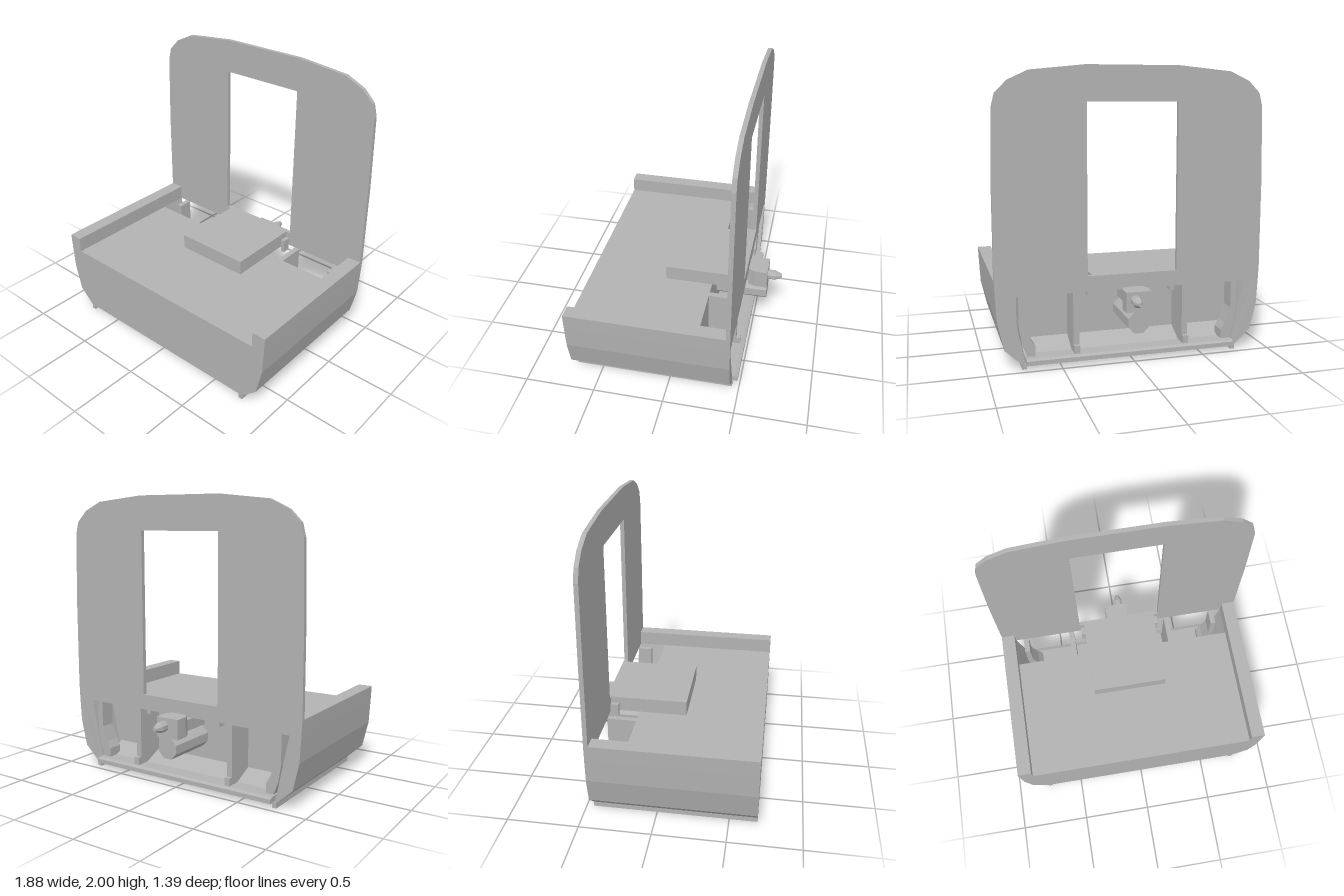
import * as THREE from 'three';

export function createModel() {
  const model = new THREE.Group();
  model.name = 'carriageEnd';
  const grey = new THREE.MeshStandardMaterial({ color: 0xb2b2b2 });
  grey.name = 'plain grey';

  const add = (name, geo) => {
    const mesh = new THREE.Mesh(geo, grey);
    mesh.name = name;
    model.add(mesh);
    return mesh;
  };
  const box = (name, x0, x1, y0, y1, z0, z1) => {
    const geo = new THREE.BoxGeometry(x1 - x0, y1 - y0, z1 - z0);
    geo.translate((x0 + x1) / 2, (y0 + y1) / 2, (z0 + z1) / 2);
    return add(name, geo);
  };
  const shapeOf = pts => new THREE.Shape(pts.map(p => new THREE.Vector2(...p)));
  // extrude an x-y outline between two z positions
  const slab = (name, shape, z0, z1) => {
    const geo = new THREE.ExtrudeGeometry(shape, { depth: z1 - z0, bevelEnabled: false });
    geo.translate(0, 0, z0);
    return add(name, geo);
  };
  const mirror = pts => pts.map(([x, y]) => [-x, y]).reverse();
  const symmetric = half => [...half, ...mirror(half)];

  // outer hull curve, bottom to shoulder
  const hull = [[0.765, 0.035], [0.88, 0.14], [0.925, 0.33], [0.935, 0.5], [0.94, 0.61]];

  // main tub with raised side ledges
  slab('body', shapeOf(symmetric([...hull, [0.84, 0.61], [0.84, 0.5]])), -0.21, 0.695);

  // upright end wall, open below deck level, with a doorway
  const wall = shapeOf(symmetric([
    [0.92, 0.5], [0.75, 0.035], ...hull, [0.94, 1.2], [0.928, 1.73],
    [0.905, 1.82], [0.825, 1.9], [0.69, 1.963], [0.32, 2]
  ]));
  wall.holes.push(new THREE.Path([[-0.315, 0.608], [-0.315, 1.763], [0.315, 1.763], [0.315, 0.608]]
    .map(p => new THREE.Vector2(...p))));
  slab('endWall', wall, -0.45, -0.42);

  // raised box on the deck
  box('deckBox', -0.28, 0.28, 0.5, 0.608, -0.42, 0.135);

  // floor of the rear bay, rising to the tub
  const floor = new THREE.ExtrudeGeometry(
    shapeOf([[0.21, 0.035], [0.485, 0.035], [0.485, 0.065], [0.46, 0.075], [0.35, 0.075], [0.21, 0.14]]),
    { depth: 1.48, bevelEnabled: false });
  floor.rotateY(Math.PI / 2);
  floor.translate(-0.74, 0, 0);
  add('bayFloor', floor);

  for (const [side, s] of [['left', 1], ['right', -1]]) {
    const sided = pts => shapeOf(s > 0 ? pts : mirror(pts));
    const span = (name, a, b, ...rest) =>
      box(side + name, Math.min(a * s, b * s), Math.max(a * s, b * s), ...rest);

    // side wall of the rear bay
    slab(side + 'BayWall', sided([...hull, [0.84, 0.61], [0.84, 0.5], [0.74, 0.035]]), -0.42, -0.21);
    // curved bracket inside the bay
    slab(side + 'Bracket', sided([
      [0.67, 0.06], [0.72, 0.06], [0.76, 0.16], [0.78, 0.28], [0.78, 0.5],
      [0.74, 0.5], [0.74, 0.3], [0.7, 0.19], [0.67, 0.14]
    ]), -0.42, -0.31);
    // upright rib with a small foot
    span('Rib', 0.37, 0.41, 0.06, 0.5, -0.42, -0.21);
    span('RibFoot', 0.37, 0.41, 0.06, 0.13, -0.45, -0.42);
    // small block beside the deck box
    span('Stop', 0.28, 0.31, 0.46, 0.56, -0.42, -0.36);
    // runner along the bottom edge
    span('Runner', 0.735, 0.765, 0, 0.036, -0.45, 0.695);
  }

  // coupler: tapered head, faceted bar and pointed pin
  const head = new THREE.ExtrudeGeometry(
    shapeOf([[-0.065, 0.45], [0.065, 0.45], [0.088, 0.5], [0.088, 0.592], [-0.088, 0.592], [-0.088, 0.5]]),
    { depth: 0.14, bevelEnabled: false });
  head.rotateX(-Math.PI / 2);
  head.translate(0, 0.375, 0);
  add('couplerHead', head);
  box('couplerStem', -0.045, 0.045, 0.39, 0.47, -0.46, -0.21);

  const bar = new THREE.CylinderGeometry(0.079, 0.079, 0.382, 8).toNonIndexed();
  bar.rotateY(Math.PI / 8);
  bar.rotateX(Math.PI / 2);
  bar.computeVertexNormals();
  bar.translate(0, 0.303, -0.401);
  add('couplerBar', bar);

  const pin = new THREE.LatheGeometry(
    [[0, 0], [0.037, 0], [0.037, 0.06], [0.015, 0.11], [0, 0.11]].map(p => new THREE.Vector2(...p)), 8).toNonIndexed();
  pin.rotateY(Math.PI / 8);
  pin.rotateX(-Math.PI / 2);
  pin.computeVertexNormals();
  pin.translate(0.025, 0.457, -0.588);
  add('couplerPin', pin);

  return model;
}
